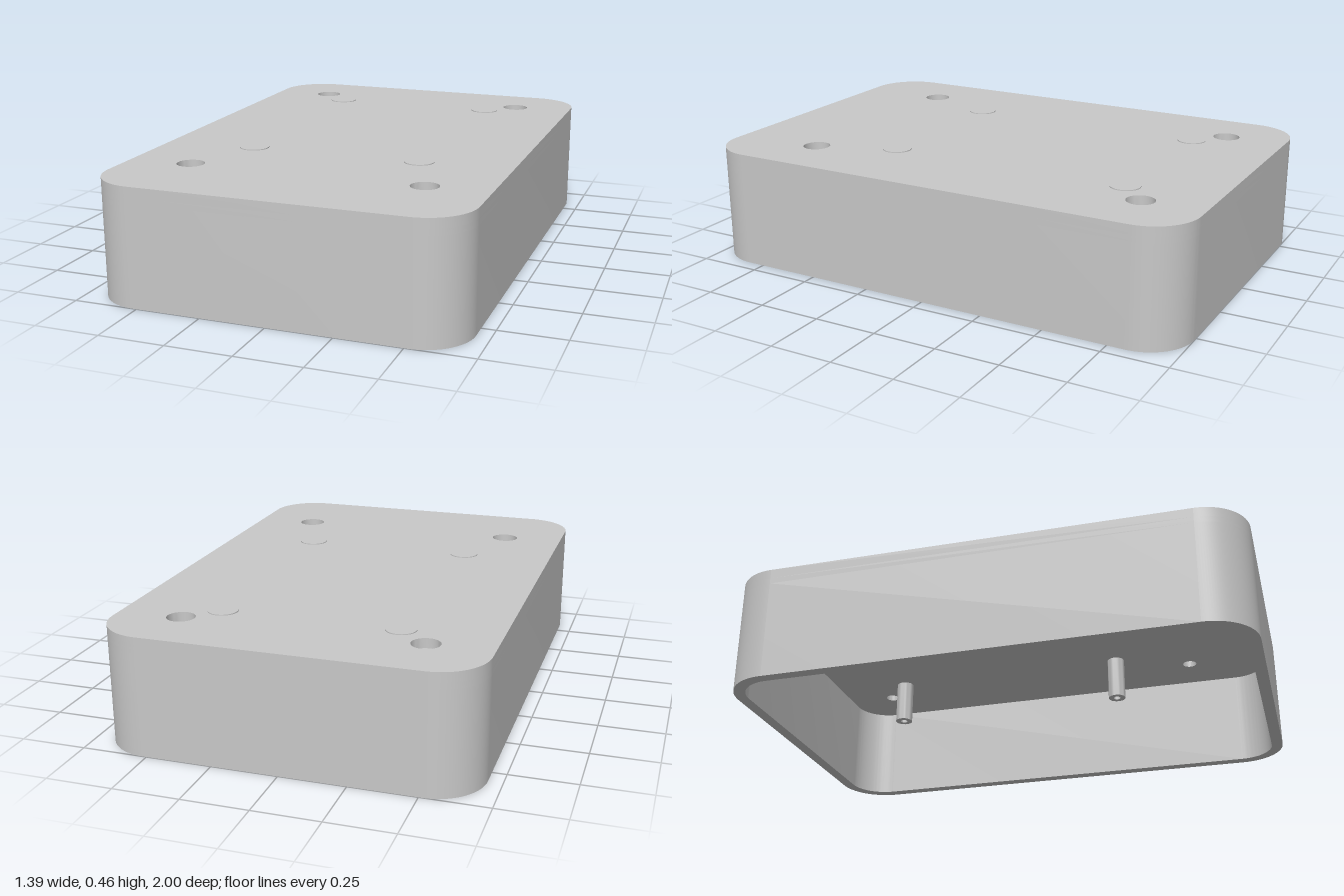
import * as THREE from 'three';
import { toCreasedNormals } from 'three/addons/utils/BufferGeometryUtils.js';

const W = 0.697, D = 1, H = 0.452, CEILING = 0.392, SEAT = 0.415, WALL = 0.045, R = 0.184;
const holes = [[-0.455, 0.638], [0.455, 0.638], [-0.455, -0.758], [0.455, -0.758]];
const posts = [[-0.338, 0.33], [0.338, 0.33], [-0.338, -0.65], [0.338, -0.65]];

// Rounded rectangle; shape y becomes -z once laid flat
function outline(path, w, d, r) {
  path.absarc(w - r, d - r, r, 0, Math.PI / 2);
  path.absarc(-w + r, d - r, r, Math.PI / 2, Math.PI);
  path.absarc(-w + r, -d + r, r, Math.PI, Math.PI * 1.5);
  path.absarc(w - r, -d + r, r, Math.PI * 1.5, Math.PI * 2);
  path.closePath();
  return path;
}

// Flat slab of the case outline between two heights
function slab(cutouts, y0, y1) {
  const shape = outline(new THREE.Shape(), W, D, R);
  shape.holes.push(...cutouts);
  const g = new THREE.ExtrudeGeometry(shape, { depth: y1 - y0, bevelEnabled: false, curveSegments: 16 });
  g.rotateX(-Math.PI / 2).translate(0, y0, 0);
  return toCreasedNormals(g, 0.6);
}

const roundHoles = (r) => holes.map(([x, z]) => new THREE.Path().absarc(x, -z, r, 0, Math.PI * 2, true));

export function createModel() {
  const grey = new THREE.MeshStandardMaterial({ color: 0xc8c8c8 });
  grey.name = 'grey';
  const model = new THREE.Group();
  model.name = 'enclosure';
  const add = (name, geometry, x = 0, z = 0) => {
    const mesh = new THREE.Mesh(geometry, grey);
    mesh.name = name;
    mesh.position.set(x, 0, z);
    model.add(mesh);
  };

  // Open-bottomed wall and the top plate with counterbored holes
  const cavity = outline(new THREE.Path(), W - WALL, D - WALL, R - WALL);
  add('wall', slab([cavity], 0, CEILING));
  add('topPlateLower', slab(roundHoles(0.029), CEILING, SEAT));
  add('topPlateUpper', slab(roundHoles(0.053), SEAT, H));

  // Hollow-tipped posts under the plate, each with a thin round pad above
  const profile = [[0, 0.36], [0.015, 0.36], [0.015, 0.215], [0.036, 0.215], [0.036, CEILING + 0.01]]
    .map(([x, y]) => new THREE.Vector2(x, y));
  const post = toCreasedNormals(new THREE.LatheGeometry(profile, 32), 0.6);
  const pad = new THREE.CylinderGeometry(0.057, 0.057, 0.007, 40).translate(0, H, 0);
  for (const [x, z] of posts) {
    add('post', post, x, z);
    add('pad', pad, x, z);
  }
  return model;
}
